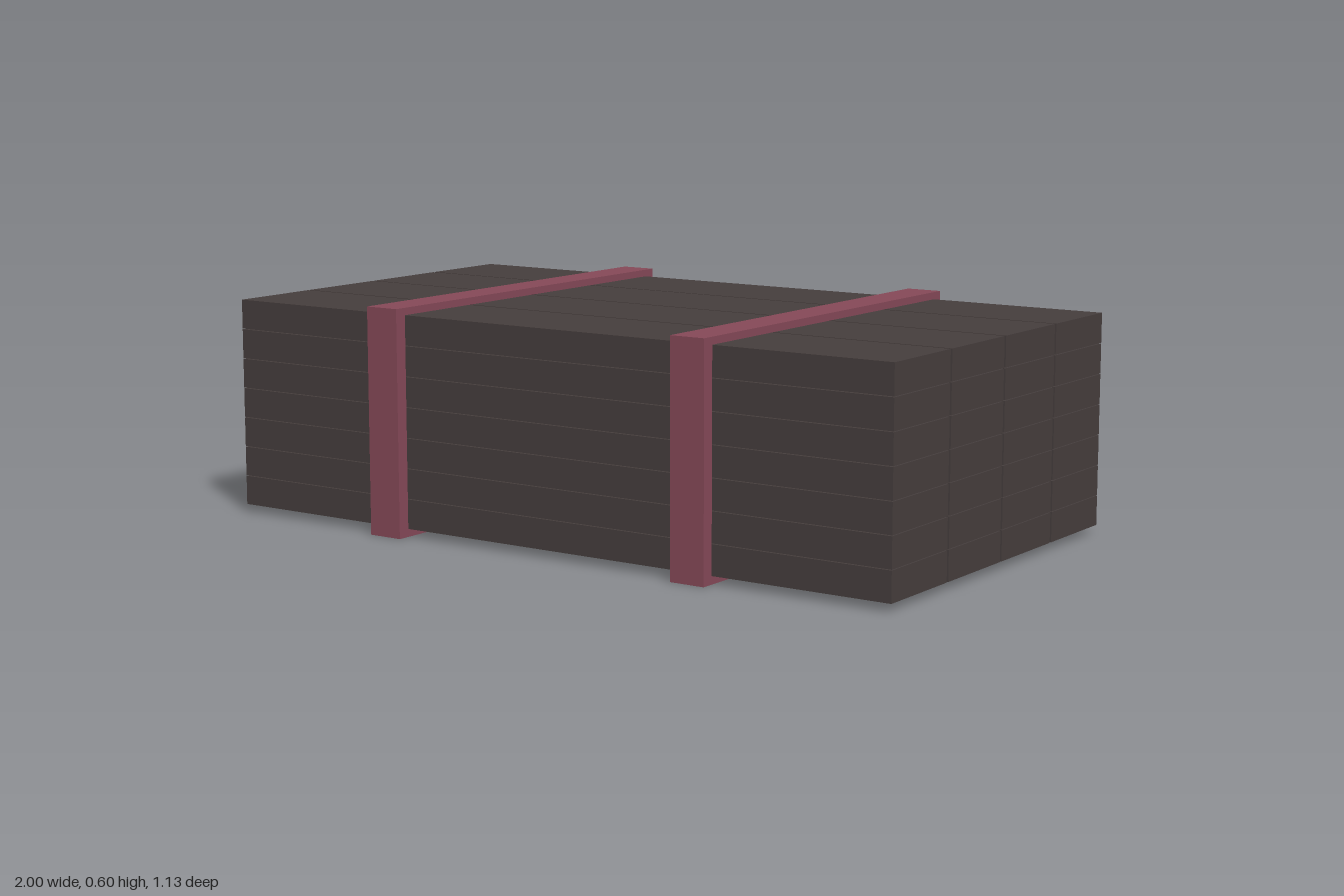
import * as THREE from 'three';

export function createModel() {
  const model = new THREE.Group();
  model.name = 'strappedPlankStack';

  const wood = new THREE.MeshStandardMaterial({ color: 0x453d3c });
  wood.name = 'dark wood';
  const strapRed = new THREE.MeshStandardMaterial({ color: 0x844857 });
  strapRed.name = 'dusty red strap';

  // Stack: seven layers of four long planks with narrow gaps
  const layers = 7, columns = 4;
  const bottom = 0.021, top = 0.576, halfDepth = 0.53;
  const gapY = 0.002, gapZ = 0.008;
  const plankH = (top - bottom - gapY * (layers - 1)) / layers;
  const plankD = (2 * halfDepth - gapZ * (columns - 1)) / columns;
  const plankGeometry = new THREE.BoxGeometry(2, plankH, plankD);
  const planks = new THREE.Group();
  planks.name = 'planks';
  for (let row = 0; row < layers; row++) {
    for (let col = 0; col < columns; col++) {
      const plank = new THREE.Mesh(plankGeometry, wood);
      plank.name = `plank${row + 1}_${col + 1}`;
      plank.position.set(
        0,
        bottom + plankH / 2 + row * (plankH + gapY),
        -halfDepth + plankD / 2 + col * (plankD + gapZ)
      );
      planks.add(plank);
    }
  }
  model.add(planks);

  // Straps: rectangular hoops around the stack
  const rectangle = (path, halfW, y0, y1) => {
    path.moveTo(-halfW, y0);
    path.lineTo(halfW, y0);
    path.lineTo(halfW, y1);
    path.lineTo(-halfW, y1);
    path.closePath();
    return path;
  };
  const strapWidth = 0.097;
  const hoop = rectangle(new THREE.Shape(), 0.564, 0, 0.595);
  hoop.holes.push(rectangle(new THREE.Path(), halfDepth, bottom, top));
  const strapGeometry = new THREE.ExtrudeGeometry(hoop, { depth: strapWidth, bevelEnabled: false });
  strapGeometry.translate(0, 0, -strapWidth / 2);
  strapGeometry.rotateY(Math.PI / 2);
  for (const [name, x] of [['rightStrap', -0.481], ['leftStrap', 0.46]]) {
    const strap = new THREE.Mesh(strapGeometry, strapRed);
    strap.name = name;
    strap.position.x = x;
    model.add(strap);
  }

  return model;
}
